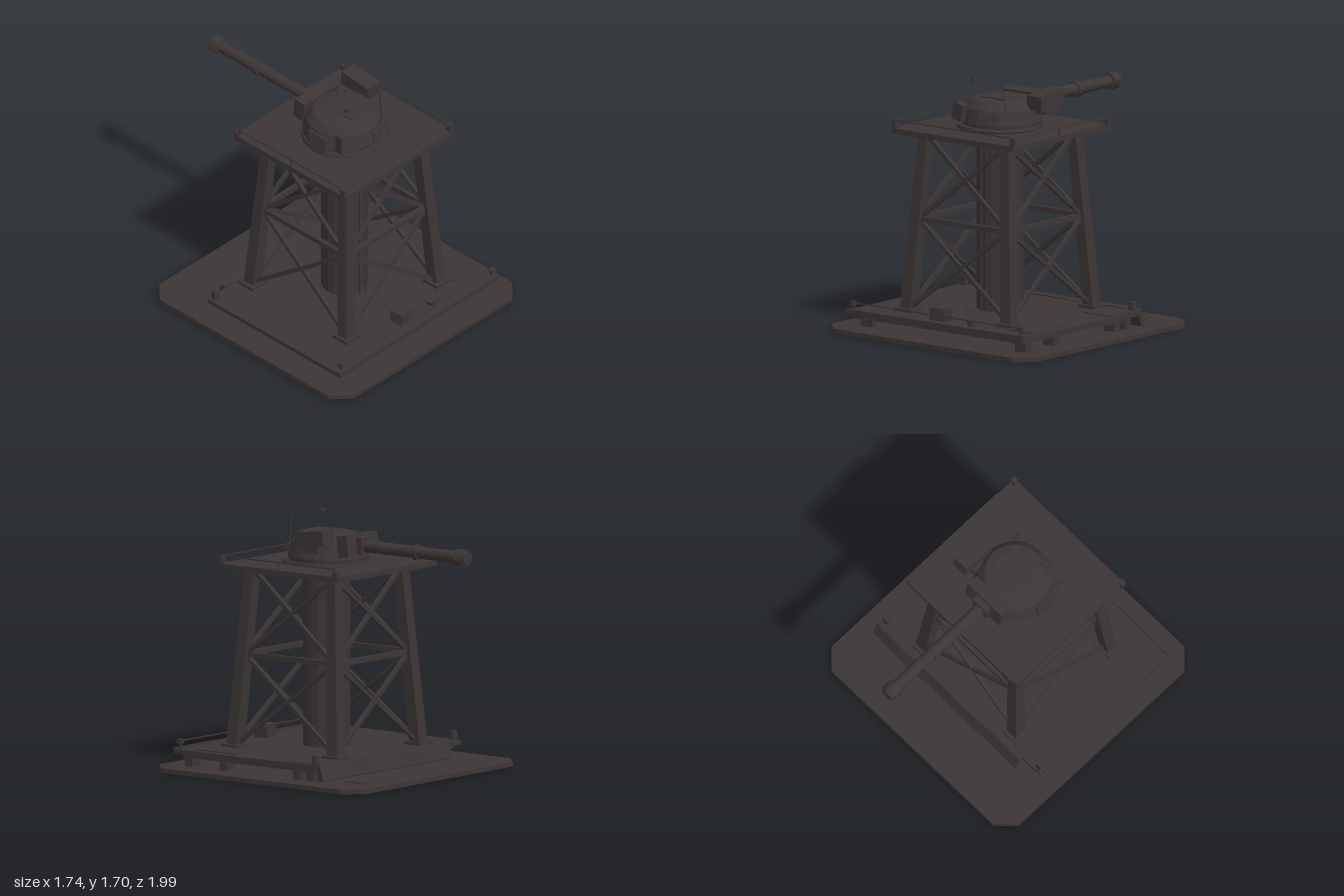
import * as THREE from 'three';

const CZ = 0.19; // tower axis in z

export function createModel() {
  const model = new THREE.Group();
  const steel = new THREE.MeshStandardMaterial({ color: 0x3c3535 });
  steel.name = 'dark steel';
  steel.flatShading = true;

  const add = (name, geo, x = 0, y = 0, z = 0, parent = model) => {
    const m = new THREE.Mesh(geo, steel);
    m.name = name;
    m.position.set(x, y, z);
    parent.add(m);
    return m;
  };
  // box given by its limits on each axis
  const box = (name, x0, x1, y0, y1, z0, z1) =>
    add(name, new THREE.BoxGeometry(x1 - x0, y1 - y0, z1 - z0), (x0 + x1) / 2, (y0 + y1) / 2, (z0 + z1) / 2);
  const drum = (name, r0, r1, y0, y1, x = 0, z = CZ, sides = 20) =>
    add(name, new THREE.CylinderGeometry(r1, r0, y1 - y0, sides), x, (y0 + y1) / 2, z);
  // square bar between two points
  const bar = (name, a, b, w, d = w) => {
    const A = new THREE.Vector3(...a), B = new THREE.Vector3(...b);
    const m = add(name, new THREE.BoxGeometry(w, d, A.distanceTo(B)));
    m.position.copy(A).add(B).multiplyScalar(0.5);
    m.lookAt(B);
    return m;
  };

  // Ground slab with cut corners
  const c = 0.12, X = 0.87, Z0 = -0.765, Z1 = 0.99;
  const outline = new THREE.Shape([
    [-X + c, Z0], [X - c, Z0], [X, Z0 + c], [X, Z1 - c],
    [X - c, Z1], [-X + c, Z1], [-X, Z1 - c], [-X, Z0 + c],
  ].map(([x, z]) => new THREE.Vector2(x, z)));
  const slabGeo = new THREE.ExtrudeGeometry(outline, { depth: 0.03, bevelEnabled: false });
  slabGeo.rotateX(Math.PI / 2);
  add('groundSlab', slabGeo, 0, 0.193, 0).rotation.z = -0.006;
  box('slabPlate', 0.48, 0.62, 0.194, 0.202, -0.61, -0.47);

  // Lower deck on short posts
  box('lowerDeck', -0.75, 0.75, 0.272, 0.302, -0.33, 0.87);
  for (const z of [-0.25, 0.77]) box('deckBeam', -0.71, 0.71, 0.245, 0.272, z - 0.04, z + 0.04);
  for (const x of [-0.66, 0.66]) box('deckSideBeam', x - 0.04, x + 0.04, 0.245, 0.272, -0.3, 0.83);
  for (const x of [-0.63, 0.67])
    for (const z of [-0.25, -0.14, 0.48, 0.77]) box('deckPost', x - 0.045, x + 0.045, 0.19, 0.25, z - 0.03, z + 0.03);
  box('deckEdge', -0.75, 0.75, 0.302, 0.312, 0.845, 0.87);
  box('deckPlate', 0.5, 0.73, 0.302, 0.309, -0.3, -0.05);
  box('deckPlate', 0.5, 0.7, 0.302, 0.309, 0.39, 0.73);
  drum('columnFooting', 0.31, 0.3, 0.19, 0.24);
  drum('columnCollar', 0.23, 0.22, 0.3, 0.31);

  // Lower deck corner lamps and front rail
  for (const x of [-0.71, 0.71]) {
    box('cornerPost', x - 0.006, x + 0.006, 0.3, 0.34, 0.835, 0.847);
    box('cornerLamp', x - 0.02, x + 0.02, 0.337, 0.365, 0.825, 0.86);
    box('cornerLamp', x - 0.02, x + 0.02, 0.302, 0.365, -0.315, -0.28);
  }
  box('deckRail', -0.71, 0.71, 0.35, 0.358, 0.837, 0.845);

  // Leaning armour panels along the back
  for (let i = 0; i < 5; i++) {
    const p = add('backPanel', new THREE.BoxGeometry(0.265, 0.115, 0.035), 0.61 - i * 0.265, 0.257, -0.36);
    p.rotation.set(0.3, (i % 2 ? 1 : -1) * 0.04, 0);
  }

  // Loose crate and canister
  const crate = add('crate', new THREE.BoxGeometry(0.11, 0.075, 0.1), -0.045, 0.345, 0.745);
  crate.rotation.set(0, 0.08, -0.08);
  box('crateLid', -0.1, 0.01, 0.382, 0.392, 0.695, 0.795).rotation.y = 0.08;
  const can = drum('canister', 0.045, 0.045, 0.295, 0.345, 0.24, 0.75, 12);
  can.rotation.z = 0.35;

  // Column and ladder
  drum('column', 0.155, 0.155, 0.24, 1.48, 0, CZ, 20);
  for (const x of [-0.028, 0.022]) box('ladderRail', x - 0.004, x + 0.004, 0.31, 1.475, 0.352, 0.362);
  for (let y = 0.36; y < 1.45; y += 0.085) box('ladderRung', -0.028, 0.022, y, y + 0.007, 0.353, 0.36);

  // Tapered legs and cross braces
  const B = 0.425, T = 0.343, Y0 = 0.3, Y1 = 1.48;
  const half = (y) => B + (T - B) * (y - Y0) / (Y1 - Y0);
  for (const sx of [-1, 1]) for (const sz of [-1, 1]) {
    const leg = new THREE.BoxGeometry(0.085, Y1 - Y0, 0.085, 1, 1, 1);
    const p = leg.attributes.position;
    for (let i = 0; i < p.count; i++) {
      const k = p.getY(i) > 0 ? T : B, s = p.getY(i) > 0 ? 0.88 : 1;
      p.setX(i, p.getX(i) * s + sx * k);
      p.setZ(i, p.getZ(i) * s + sz * k);
    }
    leg.computeVertexNormals();
    add('leg', leg, 0, (Y0 + Y1) / 2, CZ);
    box('legFoot', sx * B - 0.065, sx * B + 0.065, 0.3, 0.325, CZ + sz * B - 0.065, CZ + sz * B + 0.065);
  }
  for (let side = 0; side < 4; side++) {
    const a = side * Math.PI / 2;
    // u runs along the face, placed on the leg plane at height y
    const at = (u, y) => {
      const h = half(y), px = u * h;
      return [px * Math.cos(a) + h * Math.sin(a), y, CZ - px * Math.sin(a) + h * Math.cos(a)];
    };
    for (const [y0, y1] of [[0.34, 0.9], [0.93, 1.46]])
      for (const s of [-1, 1]) bar('crossBrace', at(-s * 0.93, y0), at(s * 0.93, y1), 0.024, 0.026);
    bar('middleBeam', at(-0.97, 0.915), at(0.97, 0.915), 0.03, 0.035);
    bar('topBeam', at(-1, 1.465), at(1, 1.465), 0.04, 0.03);
  }

  // Upper platform with rails on three sides
  box('upperPlatform', -0.51, 0.51, 1.478, 1.515, -0.32, 0.685);
  for (const x of [-0.5, 0.5]) {
    box('sideRail', x - 0.004, x + 0.004, 1.562, 1.57, -0.3, 0.67);
    box('railLamp', x - 0.018, x + 0.018, 1.515, 1.568, 0.645, 0.68);
    box('railLamp', x - 0.018, x + 0.018, 1.51, 1.55, -0.315, -0.28);
    for (const z of [-0.28, 0.19]) box('railPost', x - 0.004, x + 0.004, 1.515, 1.565, z - 0.004, z + 0.004);
  }
  box('frontRail', -0.5, 0.5, 1.562, 1.57, 0.662, 0.67);

  // Turret
  drum('turretRing', 0.285, 0.28, 1.515, 1.54, 0, CZ, 28);
  const profile = [[0, 1.535], [0.262, 1.535], [0.265, 1.56], [0.243, 1.655], [0.2, 1.705], [0.13, 1.722], [0, 1.727]];
  add('turretBody', new THREE.LatheGeometry(profile.map(([r, y]) => new THREE.Vector2(r, y)), 20), 0, 0, 0.175);
  box('roofHatch', -0.07, 0.13, 1.718, 1.728, 0.14, 0.31);
  const sideBox = add('sideBox', new THREE.BoxGeometry(0.118, 0.1, 0.24), 0.28, 1.712, 0.065);
  sideBox.rotation.x = 0.12;
  box('sideBoxBracket', 0.2, 0.33, 1.62, 1.67, 0.0, 0.13);
  const stowage = add('stowageBox', new THREE.BoxGeometry(0.11, 0.11, 0.08), -0.175, 1.615, 0.37);
  stowage.rotation.set(-0.15, -0.3, -0.15);
  const bin = add('frontPlate', new THREE.BoxGeometry(0.14, 0.035, 0.02), 0.08, 1.61, 0.42);
  bin.rotation.set(-0.15, 0.2, 0.03);
  const cheek = add('cheekPlate', new THREE.BoxGeometry(0.03, 0.1, 0.16), -0.262, 1.59, 0.2);
  cheek.rotation.z = -0.2;
  const hose = add('hose', new THREE.TorusGeometry(0.29, 0.009, 6, 16, Math.PI / 2), 0, 1.53, CZ);
  hose.rotation.x = Math.PI / 2;

  // Gun
  const mantlet = box('mantlet', -0.16, 0.16, 1.58, 1.725, -0.115, -0.03);
  mantlet.rotation.x = 0.15;
  box('mantletBlock', -0.065, 0.065, 1.6, 1.71, -0.15, -0.06);
  const tube = (name, r, z0, z1, sides = 16) => {
    const g = new THREE.CylinderGeometry(r, r, z1 - z0, sides);
    g.rotateX(Math.PI / 2);
    return add(name, g, 0, 1.648, (z0 + z1) / 2);
  };
  tube('barrel', 0.04, -0.95, -0.1);
  tube('barrelCollar', 0.052, -0.595, -0.56);
  tube('muzzleBrake', 0.055, -0.985, -0.915);
  for (const z of [-0.935, -0.965]) box('muzzleFin', -0.07, 0.07, 1.635, 1.66, z - 0.008, z + 0.008);
  tube('muzzleTip', 0.045, -1.0, -0.97);

  // Antenna and small beacon above the roof
  bar('antenna', [0.18, 1.65, 0.352], [0.15, 1.855, 0.362], 0.007);
  box('beacon', -0.132, -0.098, 1.822, 1.842, 0.31, 0.34);
  return model;
}
